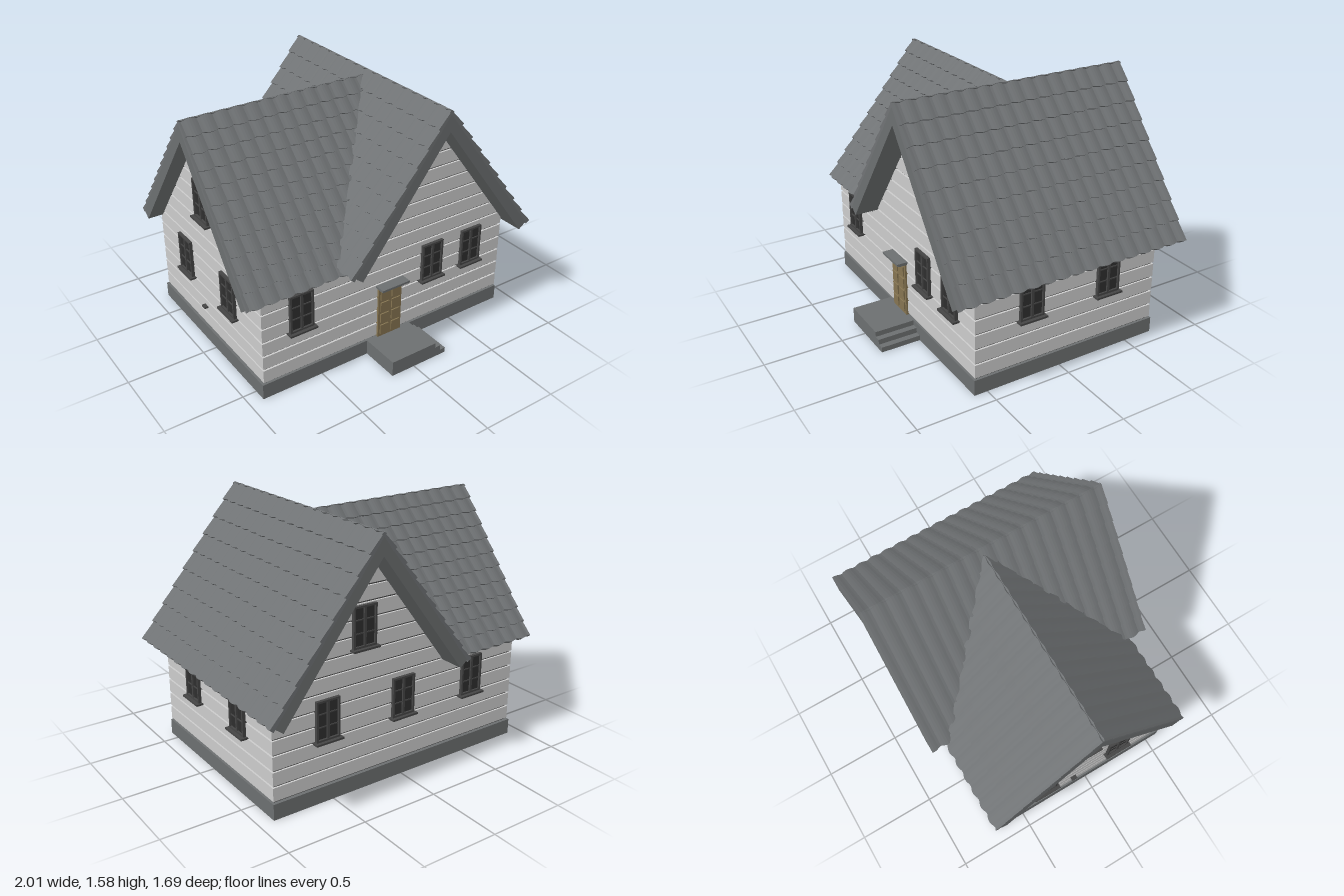
import * as THREE from 'three';

const mat = (color, extra = {}) => new THREE.MeshStandardMaterial({ color, ...extra });
const M = {
  wall: mat(0xcccccc),
  seam: mat(0x4a4a4a),
  stone: mat(0x6c6f70),
  trim: mat(0x6c6f70),
  tile: mat(0x707375, { flatShading: true, side: THREE.DoubleSide }),
  frame: mat(0x454545),
  glass: mat(0x2e2e2e),
  door: mat(0x857451),
};

// Box given by its min and max corners
function box(parent, name, m, x0, x1, y0, y1, z0, z1) {
  const mesh = new THREE.Mesh(new THREE.BoxGeometry(x1 - x0, y1 - y0, z1 - z0), m);
  mesh.position.set((x0 + x1) / 2, (y0 + y1) / 2, (z0 + z1) / 2);
  mesh.name = name;
  parent.add(mesh);
  return mesh;
}

function prism(parent, name, m, pts, depth, z) {
  const shape = new THREE.Shape(pts.map(p => new THREE.Vector2(...p)));
  const mesh = new THREE.Mesh(new THREE.ExtrudeGeometry(shape, { depth, bevelEnabled: false }), m);
  mesh.position.z = z;
  mesh.name = name;
  parent.add(mesh);
}

const EAVE = 0.673, PITCH = 0.0955, BASE = 0.1;

// Horizontal cladding boards on one wall; span(y) gives the wall's ends at a height
function cladding(parent, name, rotY, dist, span, top) {
  const g = new THREE.Group();
  g.name = name;
  g.rotation.y = rotY;
  for (let i = 0; BASE + i * PITCH < top - 0.03; i++) {
    const y0 = BASE + i * PITCH + 0.012, y1 = Math.min(BASE + (i + 1) * PITCH, top);
    const [a, b] = span(y0), [c, d] = span(y1 - 0.001);
    prism(g, 'board', M.wall, [[a, y0], [b, y0], [d, y1], [c, y1]], 0.012, dist - 0.012);
  }
  parent.add(g);
}

// Window facing +z in its own frame, origin at the bottom centre of the wall face
function addWindow(parent, rotY, along, dist, y) {
  const g = new THREE.Group();
  g.name = 'window';
  box(g, 'glass', M.glass, -0.075, 0.075, 0.005, 0.245, -0.01, 0.008);
  for (const x of [-0.08, 0.068]) box(g, 'frameSide', M.frame, x, x + 0.012, 0, 0.25, -0.01, 0.02);
  for (const h of [0, 0.238]) box(g, 'frameRail', M.frame, -0.08, 0.08, h, h + 0.012, -0.01, 0.02);
  box(g, 'mullion', M.frame, -0.008, 0.008, 0, 0.25, -0.01, 0.018);
  for (const h of [0.083, 0.163]) box(g, 'glazingBar', M.frame, -0.075, 0.075, h, h + 0.007, -0.01, 0.013);
  box(g, 'sill', M.frame, -0.093, 0.093, -0.012, 0, -0.01, 0.04);
  const turn = new THREE.Group();
  turn.name = 'windowMount';
  turn.rotation.y = rotY;
  g.position.set(along, y, dist);
  turn.add(g);
  parent.add(turn);
}

const SLAB = 0.065;

// Tiled roof plane: local x runs down the slope, y is its normal, z runs along the ridge.
// lo(t), hi(t) give the plane's ends, with t from 0 at the ridge to 1 at the eave.
function roofSlope(parent, name, { apex, rotY, slope, len, rows, lo, hi }) {
  const turn = new THREE.Group(), g = new THREE.Group();
  turn.name = name;
  g.name = 'slope';
  turn.position.set(...apex);
  turn.rotation.y = rotY;
  g.rotation.z = -Math.atan(slope);
  turn.add(g);
  parent.add(turn);

  // Deck, mitred at the ridge and cut along the valley
  const deck = new THREE.BoxGeometry(1, 1, 1), p = deck.attributes.position;
  for (let i = 0; i < p.count; i++) {
    const top = p.getY(i) > 0, t = p.getX(i) > 0 ? 1 : 0;
    const s = t ? len : top ? -SLAB * slope : 0;
    p.setXYZ(i, s, top ? SLAB : 0, p.getZ(i) > 0 ? hi(t) : lo(t));
  }
  deck.computeVertexNormals();
  const deckMesh = new THREE.Mesh(deck, M.trim);
  deckMesh.name = 'roofDeck';
  g.add(deckMesh);

  // Overlapping courses of curved tiles
  const pos = [], idx = [], tileW = 0.098, start = -0.082 * slope, step = (len + 0.006 - start) / rows;
  for (let r = 0; r < rows; r++) {
    const s0 = start + r * step, s1 = s0 + step, t = Math.max(0, Math.min(1, (s0 + step / 2) / len));
    const z0 = lo(t), z1 = hi(t), n = Math.round((z1 - z0) / tileW * 6), first = pos.length / 3;
    for (let j = -1; j <= n + 1; j++) {
      const z = z0 + (z1 - z0) * Math.max(0, Math.min(n, j)) / n;
      const w = Math.abs(Math.sin(Math.PI * z / tileW)), end = j < 0 || j > n;
      const e = s1 + 0.012 * w;
      const n0 = end ? SLAB - 0.003 : SLAB + 0.004 + 0.01 * w;
      const n1 = end ? SLAB - 0.003 : n0 + 0.015;
      pos.push(s0, n0, z, e, n1, z, e, SLAB - 0.004, z);
    }
    for (let j = 0; j < n + 2; j++) for (let k = 0; k < 2; k++) {
      const a = first + j * 3 + k, b = a + 3;
      idx.push(a, b, a + 1, b, b + 1, a + 1);
    }
  }
  const geo = new THREE.BufferGeometry();
  geo.setAttribute('position', new THREE.Float32BufferAttribute(pos, 3));
  geo.setIndex(idx);
  geo.computeVertexNormals();
  const tiles = new THREE.Mesh(geo, M.tile);
  tiles.name = 'roofTiles';
  g.add(tiles);
}

export function createModel() {
  const house = new THREE.Group();
  house.name = 'house';
  const PI = Math.PI;

  // Foundation, porch and side steps
  box(house, 'foundation', M.stone, -0.91, 0.905, 0, 0.1, -0.7, 0.585);
  box(house, 'porch', M.stone, -0.165, 0.165, 0, 0.1, 0.58, 0.845);
  box(house, 'upperStep', M.stone, 0.165, 0.205, 0, 0.067, 0.58, 0.845);
  box(house, 'lowerStep', M.stone, 0.205, 0.245, 0, 0.033, 0.58, 0.845);

  // Wall core seen in the seams between boards
  box(house, 'wallCore', M.seam, -0.888, 0.888, 0.1, EAVE, -0.678, 0.568);
  prism(house, 'mainGableCore', M.seam, [[-0.31, 0.66], [0.87, 0.66], [0.28, 1.46]], 1.246, -0.678);
  const wing = new THREE.Group();
  wing.name = 'wingGable';
  wing.rotation.y = -PI / 2;
  prism(wing, 'wingGableCore', M.seam, [[-0.66, 0.66], [0.52, 0.66], [-0.07, 1.43]], 0.8, 0.088);
  house.add(wing);

  // Cladding
  const mainHalf = y => (1.47 - y) / 1.32, wingHalf = y => (1.44 - y) / 1.29;
  const front = y => y < EAVE ? [-0.9, 0.9] : [0.28 - mainHalf(y), 0.28 + mainHalf(y)];
  cladding(house, 'frontWall', 0, 0.58, front, 1.46);
  cladding(house, 'backWall', PI, 0.69, y => front(y).map(v => -v).reverse(), 1.46);
  cladding(house, 'leftWall', PI / 2, 0.9, () => [-0.58, 0.69], EAVE);
  cladding(house, 'rightWall', -PI / 2, 0.9,
    y => y < EAVE ? [-0.69, 0.58] : [-0.07 - wingHalf(y), -0.07 + wingHalf(y)], 1.43);

  // Windows on each side: [position along wall, sill height]
  const low = 0.395, high = 0.895;
  for (const x of [-0.64, 0.32, 0.635]) addWindow(house, 0, x, 0.58, low);
  for (const [x, y] of [[0.54, low], [0, low], [-0.54, low], [0.29, high]]) addWindow(house, PI, -x, 0.69, y);
  for (const z of [0.21, -0.33]) addWindow(house, PI / 2, -z, 0.9, low);
  for (const [z, y] of [[0.21, low], [-0.33, low], [-0.06, high]]) addWindow(house, -PI / 2, z, 0.9, y);
  box(house, 'wallVent', M.frame, -0.925, -0.89, 0.247, 0.257, -0.13, -0.09);

  // Panelled door with canopy
  box(house, 'door', M.door, -0.09, 0.085, 0.1, 0.458, 0.57, 0.592);
  for (const x of [-0.075, 0.008]) for (let i = 0; i < 4; i++)
    box(house, 'doorPanel', M.door, x, x + 0.062, 0.12 + i * 0.083, 0.185 + i * 0.083, 0.58, 0.6);
  box(house, 'canopy', M.trim, -0.095, 0.09, 0.455, 0.466, 0.57, 0.635);
  box(house, 'canopyTop', M.trim, -0.103, 0.1, 0.466, 0.48, 0.57, 0.65);

  // Main roof, ridge running front to back
  const main = { apex: [0.28, 1.45, 0], slope: 1.32, rows: 9 };
  roofSlope(house, 'mainRoofLeft', { ...main, rotY: 0, len: 1.06, lo: () => -0.845, hi: () => 0.73 });
  roofSlope(house, 'mainRoofRight', { ...main, rotY: PI, len: 0.98, lo: () => -0.73, hi: () => 0.845 });

  // Wing roof, ridge running sideways and cut along the valleys
  const valley = t => 0.25 - 0.61 * t;
  const cross = { apex: [0, 1.42, -0.07], slope: 1.29, rows: 11 };
  roofSlope(house, 'wingRoofFront', { ...cross, rotY: -PI / 2, len: 1.0, lo: t => -valley(t), hi: () => 1 });
  roofSlope(house, 'wingRoofBack', { ...cross, rotY: PI / 2, len: 0.98, lo: () => -1, hi: valley });

  return house;
}
